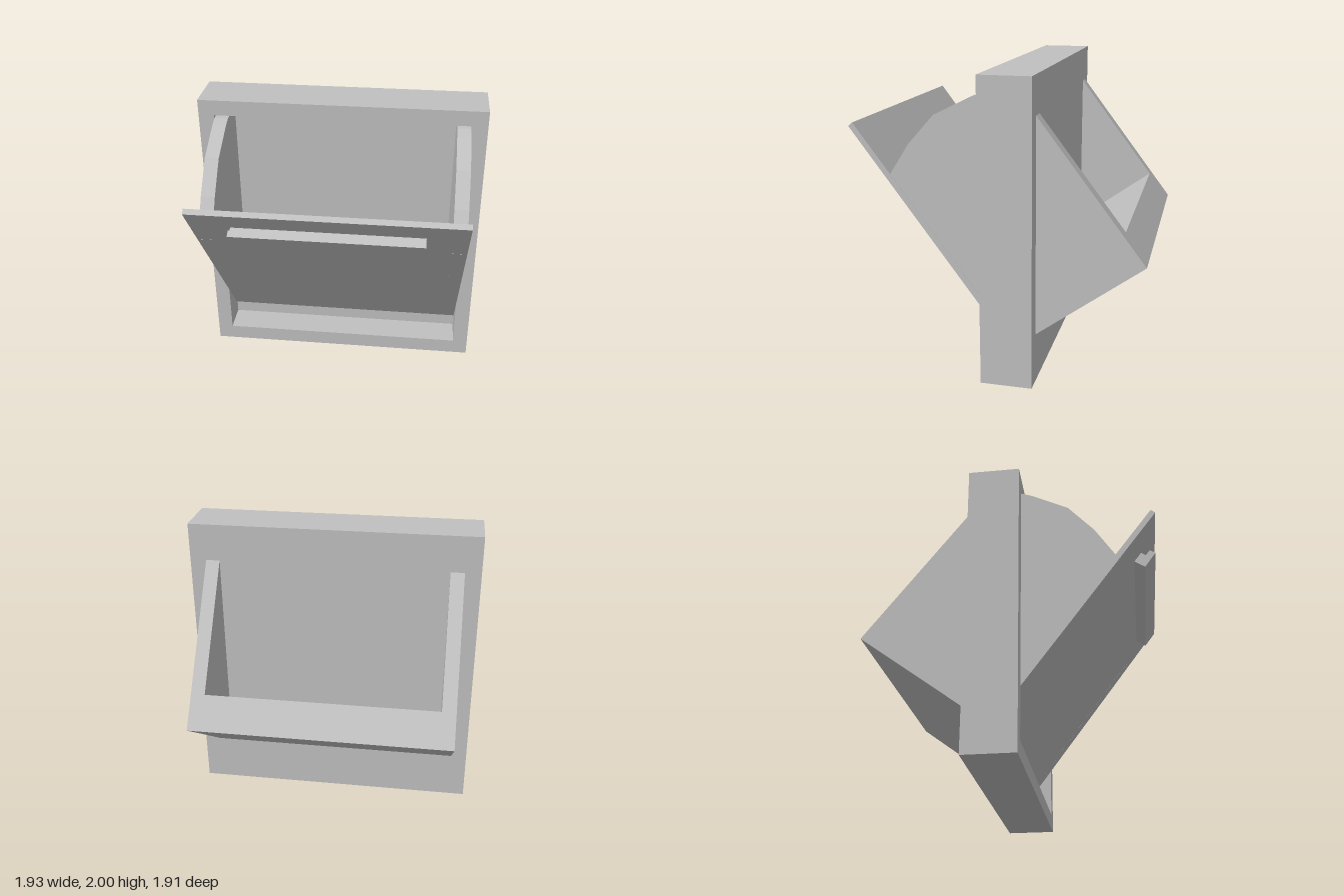
import * as THREE from 'three';

// Extrude a side profile of [z, y] points across x from x0 to x1
function profile(name, points, x0, x1, material) {
  const shape = new THREE.Shape(points.map(([z, y]) => new THREE.Vector2(z, y)));
  const geometry = new THREE.ExtrudeGeometry(shape, { depth: x1 - x0, bevelEnabled: false });
  geometry.rotateY(-Math.PI / 2);
  geometry.translate(x1, 0, 0);
  const mesh = new THREE.Mesh(geometry, material);
  mesh.name = name;
  return mesh;
}

export function createModel() {
  const model = new THREE.Group();
  model.name = 'tiltingHopper';
  const grey = new THREE.MeshStandardMaterial({ color: 0xc0c0c0 });
  grey.name = 'light grey';

  // Wall frame with rectangular opening
  const outline = new THREE.Shape([[-0.965, 0], [0.965, 0], [0.965, 2], [-0.965, 2]]
    .map(p => new THREE.Vector2(...p)));
  outline.holes.push(new THREE.Path([[-0.86, 0.11], [-0.86, 1.895], [0.86, 1.895], [0.86, 0.11]]
    .map(p => new THREE.Vector2(...p))));
  const frameGeometry = new THREE.ExtrudeGeometry(outline, { depth: 0.34, bevelEnabled: false });
  frameGeometry.translate(0, 0, -0.262);
  const frame = new THREE.Mesh(frameGeometry, grey);
  frame.name = 'frame';
  model.add(frame);

  // Panel closing the back of the opening
  const backPanel = new THREE.Mesh(new THREE.BoxGeometry(1.72, 1.785, 0.132), grey);
  backPanel.position.set(0, 1.0025, -0.196);
  backPanel.name = 'backPanel';
  model.add(backPanel);

  // Tilted bin: curved-top side walls
  const bin = new THREE.Group();
  bin.name = 'tiltedBin';
  model.add(bin);
  const wall = [[-0.104, 0.214], [0.72, 1.314], [0.695, 1.33], [0.56, 1.54], [0.39, 1.73],
    [0.15, 1.85], [0.08, 1.875], [-0.155, 1.893], [-0.955, 0.845]];
  bin.add(profile('leftWall', wall, 0.765, 0.857, grey));
  bin.add(profile('rightWall', wall, -0.857, -0.765, grey));

  // Thick floor between the walls
  bin.add(profile('binFloor', [[-0.104, 0.214], [0, 0.353], [-0.13, 0.5], [-0.38, 0.72],
    [-0.81, 1.035], [-0.955, 0.845]], -0.765, 0.765, grey));

  // Door plate and its hooked pull
  bin.add(profile('door', [[-0.104, 0.214], [0.96, 1.636], [0.932, 1.66], [-0.136, 0.238]],
    -0.859, 0.859, grey));
  bin.add(profile('handle', [[0.81, 1.436], [0.88, 1.39], [0.955, 1.493], [0.918, 1.517],
    [0.89, 1.48], [0.859, 1.501]], -0.6, 0.6, grey));

  return model;
}
